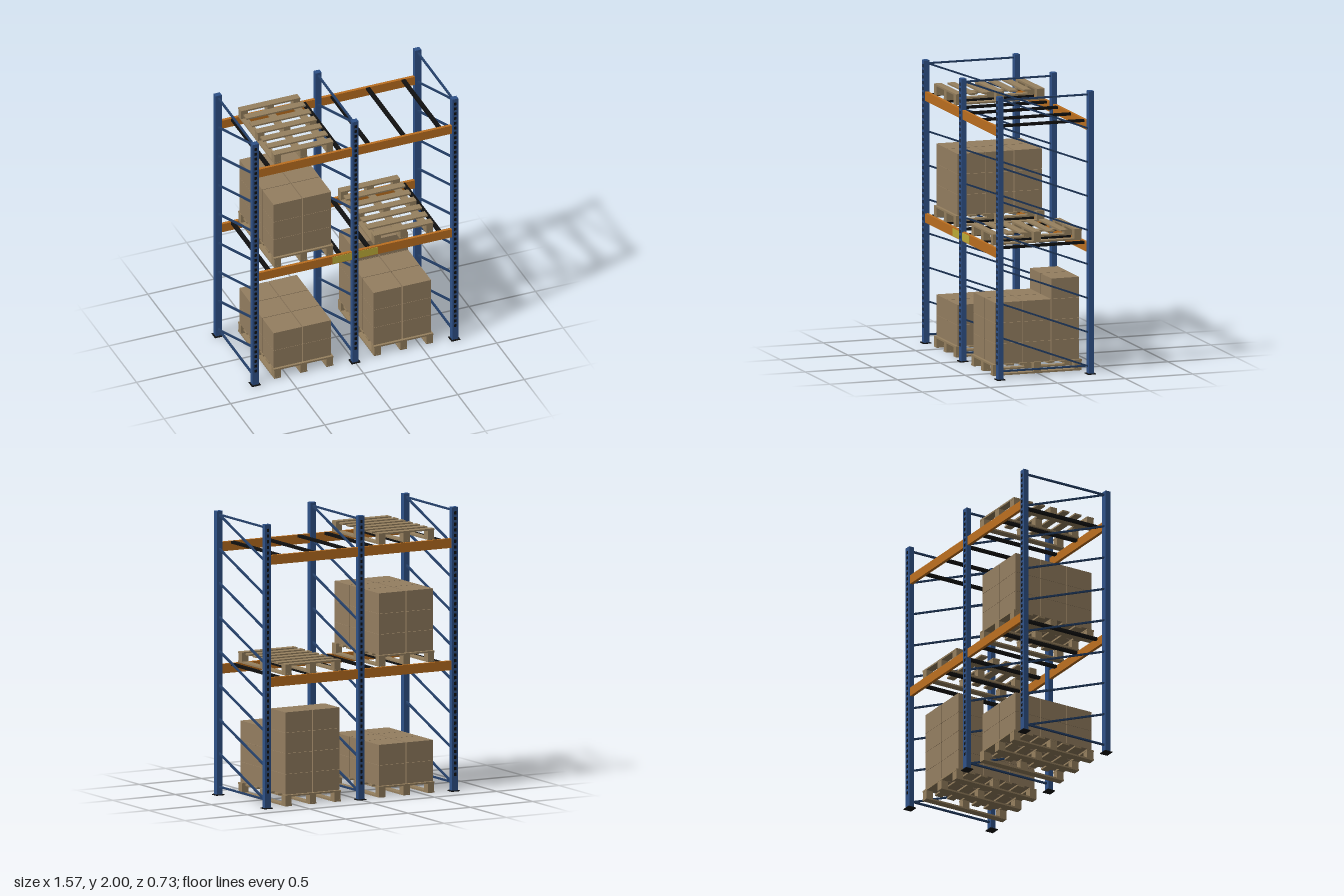
import * as THREE from 'three';
import { mergeGeometries } from 'three/addons/utils/BufferGeometryUtils.js';

const mat = (name, color) => {
  const m = new THREE.MeshStandardMaterial({ color });
  m.name = name;
  return m;
};

// box given by size and centre
const block = (w, h, d, x, y, z) => new THREE.BoxGeometry(w, h, d).translate(x, y, z);

export function createModel() {
  const blue = mat('post blue', 0x2f5289);
  const navy = mat('brace blue', 0x25416b);
  const orange = mat('beam orange', 0xbd7020);
  const black = mat('black steel', 0x101010);
  const wood = mat('pallet wood', 0x97815f);
  const card = mat('cardboard', 0x957f61);
  const yellow = mat('label yellow', 0xbfae38);

  const model = new THREE.Group();
  model.name = 'palletRack';
  const add = (name, parts, material, parent = model) => {
    const mesh = new THREE.Mesh(mergeGeometries(parts), material);
    mesh.name = name;
    parent.add(mesh);
    return mesh;
  };

  // upright frames: posts, foot plates, slots and bracing
  const frameX = [-0.75, 0, 0.75];
  for (const x of frameX) {
    const frame = new THREE.Group();
    frame.name = 'uprightFrame';
    model.add(frame);
    const posts = [], plates = [], slots = [], braces = [];
    for (const s of [-1, 1]) {
      posts.push(block(0.046, 1.996, 0.038, x, 1.002, s * 0.335));
      plates.push(block(0.066, 0.006, 0.06, x, 0.003, s * 0.335));
      for (let y = 0.12; y < 1.99; y += 0.04) {
        slots.push(block(0.018, 0.022, 0.002, x, y, s * 0.3545));
      }
    }
    const brace = (y0, y1) => {
      const dz = 0.64, dy = y1 - y0;
      const g = new THREE.BoxGeometry(0.014, 0.012, Math.hypot(dz, dy));
      g.rotateX(Math.atan2(dy, dz)).translate(x, (y0 + y1) / 2, 0);
      braces.push(g);
    };
    brace(1.975, 1.975);
    brace(0.06, 0.06);
    for (let i = 0; i < 8; i++) {
      const y = 1.975 - i * 0.24;
      brace(y, y - 0.24);
    }
    add('posts', posts, blue, frame);
    add('footPlates', plates, black, frame);
    add('postSlots', slots, black, frame);
    add('braces', braces, navy, frame);
  }

  // load beams and cross bars on both levels
  const levels = [0.92, 1.78];
  for (const top of levels) {
    const beams = [], bars = [];
    for (const x of [-0.375, 0.375]) {
      for (const s of [-1, 1]) {
        beams.push(block(0.704, 0.066, 0.022, x, top - 0.033, s * 0.335));
      }
      for (const dx of [-0.267, 0, 0.267]) {
        bars.push(block(0.028, 0.018, 0.648, x + dx, top - 0.008, 0));
      }
    }
    add('loadBeams', beams, orange);
    add('crossBars', bars, black);
  }

  // load sign either side of the middle post
  add('loadSign', [-1, 1].map(s => block(0.147, 0.056, 0.003, s * 0.0965, 0.887, 0.3475)), yellow);

  // pallet: bottom runners, blocks and deck slats
  const pallet = (x, y) => {
    const g = new THREE.Group();
    g.name = 'pallet';
    g.position.set(x, y, 0);
    model.add(g);
    const runners = [], blocks = [], slats = [];
    for (const dx of [-0.196, 0, 0.196]) {
      runners.push(block(0.052, 0.012, 0.655, dx, 0.006, 0));
      for (const dz of [-0.3, 0, 0.3]) blocks.push(block(0.05, 0.054, 0.053, dx, 0.039, dz));
    }
    for (let i = -3; i <= 3; i++) slats.push(block(0.445, 0.012, 0.055, 0, 0.072, i * 0.1));
    add('runners', runners, wood, g);
    add('blocks', blocks, wood, g);
    add('deckSlats', slats, wood, g);
  };

  // carton stack: two columns wide, rows listed back to front by layer count
  const stack = (x, y, layers) => {
    const cartons = [];
    layers.forEach((n, r) => {
      for (let k = 0; k < n; k++) {
        for (const s of [-1, 1]) {
          cartons.push(block(0.212, 0.1435, 0.204, x + s * 0.11, y + 0.0725 + k * 0.1452, (r - 1) * 0.209));
        }
      }
    });
    add('cartons', cartons, card);
  };

  const L = -0.378, R = 0.373;
  pallet(L, 0);
  pallet(R, 0);
  pallet(L, 0.921);
  pallet(R, 0.921);
  pallet(L, 1.781);
  stack(L - 0.004, 0.079, [2, 2, 2]);
  stack(R - 0.004, 0.079, [4, 3, 3]);
  stack(L - 0.004, 1.0, [3, 3, 3]);

  return model;
}
